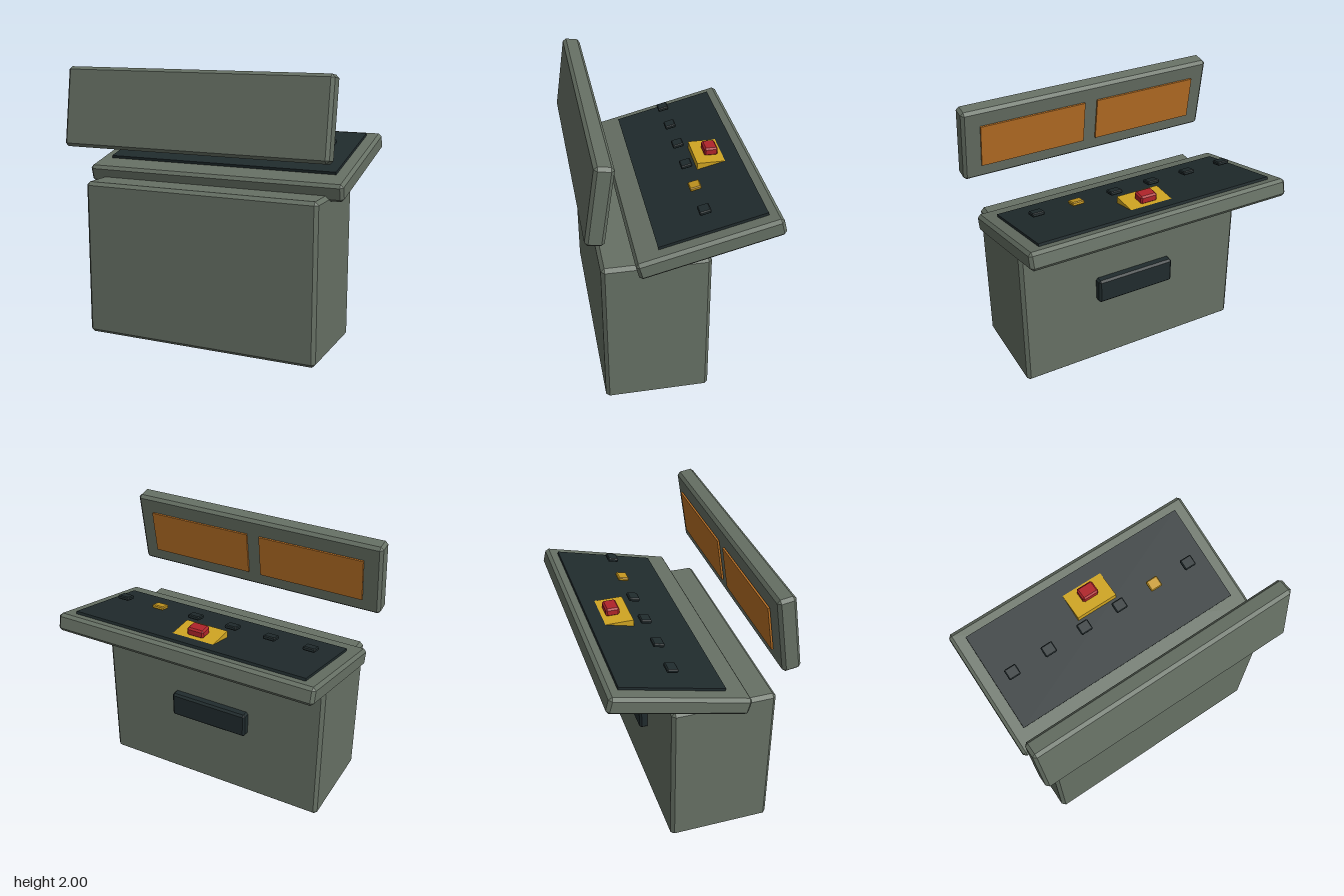
import * as THREE from 'three';
import { ConvexGeometry } from 'three/addons/geometries/ConvexGeometry.js';

const paint = (name, color) => {
  const m = new THREE.MeshStandardMaterial({ color });
  m.name = name;
  return m;
};

// Box whose edges and corners are cut by a flat chamfer c
function chamferBox(w, h, d, c) {
  const pts = [];
  for (const sx of [-1, 1]) for (const sy of [-1, 1]) for (const sz of [-1, 1]) {
    const x = w / 2, y = h / 2, z = d / 2;
    pts.push(
      new THREE.Vector3(sx * x, sy * (y - c), sz * (z - c)),
      new THREE.Vector3(sx * (x - c), sy * y, sz * (z - c)),
      new THREE.Vector3(sx * (x - c), sy * (y - c), sz * z));
  }
  return new ConvexGeometry(pts);
}

export function createModel() {
  const metal = paint('grey green metal', 0x667064);
  const dark = paint('dark panel', 0x202b2d);
  const yellow = paint('warning yellow', 0xd0a522);
  const amber = paint('amber button', 0xc4961f);
  const red = paint('red button', 0xb0242a);
  const orange = paint('orange screen', 0xb97025);

  const model = new THREE.Group();
  model.name = 'controlConsole';

  // Adds a box; chamfer 0 gives sharp edges
  function box(parent, name, mat, [w, h, d], [x, y, z], chamfer = 0) {
    const geo = chamfer ? chamferBox(w, h, d, chamfer) : new THREE.BoxGeometry(w, h, d);
    const mesh = new THREE.Mesh(geo, mat);
    mesh.name = name;
    mesh.position.set(x, y, z);
    parent.add(mesh);
    return mesh;
  }

  // Cabinet and the handle on its back
  box(model, 'cabinet', metal, [1.8, 1.16, 0.75], [0, 0.58, 0.185], 0.025);
  box(model, 'backHandle', dark, [0.62, 0.195, 0.08], [0, 0.672, -0.21], 0.015);

  // Sloping desk with its inset panel
  const tilt = 0.245;
  const desk = new THREE.Group();
  desk.name = 'desk';
  desk.position.set(0, 1.3, -0.16);
  desk.rotation.x = tilt;
  model.add(desk);
  box(desk, 'deskSlab', metal, [2, 0.13, 1.01], [0, 0, 0], 0.022);
  box(desk, 'controlPanel', dark, [1.8, 0.02, 0.757], [0, 0.075, -0.048]);

  // Row of buttons
  for (let i = 0; i < 6; i++) {
    const b = box(model, 'button' + (i + 1), i === 4 ? amber : dark,
      [0.092, 0.028, 0.082], [-0.762 + i * 0.3, 1.453, -0.16], 0.007);
    b.rotation.x = tilt;
  }

  // Emergency button on a yellow base
  box(model, 'emergencyBase', yellow, [0.324, 0.05, 0.215], [0, 1.434, -0.348]);
  box(model, 'emergencyButton', red, [0.13, 0.062, 0.1], [0, 1.484, -0.365], 0.012);

  // Raised display board with two screens facing the operator
  const board = new THREE.Group();
  board.name = 'displayBoard';
  board.position.set(0, 1.71, 0.56);
  board.rotation.x = -0.15;
  model.add(board);
  box(board, 'boardCasing', metal, [2, 0.575, 0.13], [0, 0, 0], 0.022);
  for (const s of [-1, 1]) {
    box(board, s > 0 ? 'leftScreen' : 'rightScreen', orange, [0.82, 0.335, 0.014], [s * 0.46, 0, -0.081]);
  }

  return model;
}
